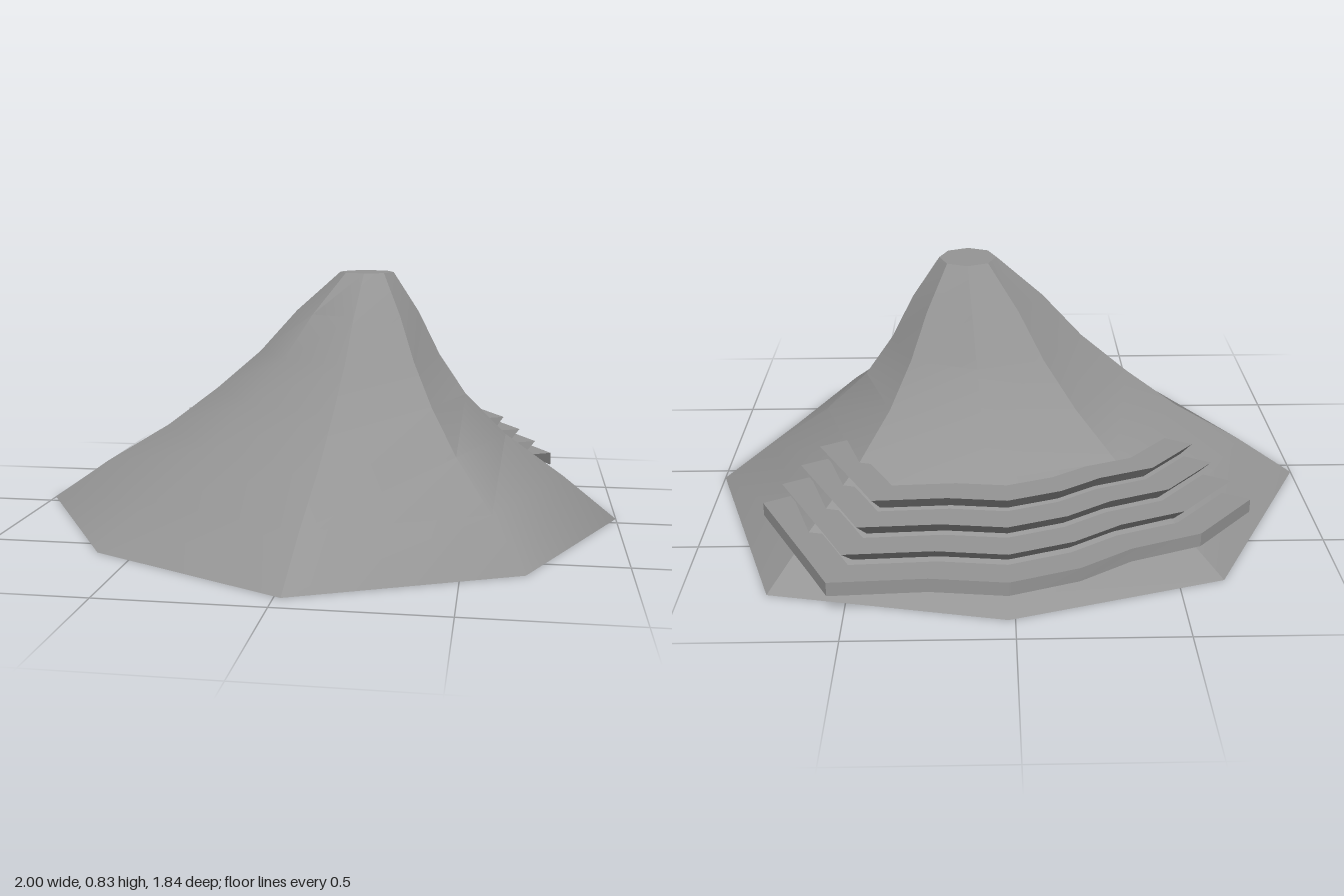
import * as THREE from 'three';
import { toCreasedNormals } from 'three/addons/utils/BufferGeometryUtils.js';

const rock = new THREE.MeshStandardMaterial({ color: 0x959595 });
const ledge = new THREE.MeshStandardMaterial({ color: 0x959595, side: THREE.DoubleSide });

// Ground outline of the mountain: x, z and the blend from gentle (0) to steep (1) slope
const BASE = [
  [1, -0.05, 1], [0.69, 0.62, 0.5], [0.02, 0.92, 0], [-0.62, 0.59, 0],
  [-1, -0.05, 0], [-0.64, -0.72, 0.4], [0.02, -0.91, 0.5], [0.74, -0.77, 0.9],
];
// How far each level has moved from the ground outline to the summit ring
const LEVELS = [0, 0.14, 0.28, 0.415, 0.55, 0.695, 0.83];
const GENTLE = [0, 0.19, 0.41, 0.58, 0.73, 0.855, 1];
const STEEP = [0, 0.23, 0.49, 0.67, 0.79, 0.885, 1];
const SUMMIT = { x: 0.135, z: -0.1, r: 0.092 };

// Terrace outline, relative to its centre, from the left end round the back to the right
const EDGE = [
  [-0.78, -0.42], [-0.59, -0.62], [-0.37, -0.7], [-0.21, -0.8], [0, -0.87],
  [0.23, -0.845], [0.52, -0.86], [0.58, -0.75], [0.77, -0.41],
];
const CENTRE = [0.02, -0.05];

function makeGeometry(positions, index) {
  const g = new THREE.BufferGeometry();
  g.setAttribute('position', new THREE.Float32BufferAttribute(positions, 3));
  g.setIndex(index);
  g.computeVertexNormals();
  return g;
}

function addMesh(group, geometry, material, name) {
  const mesh = new THREE.Mesh(geometry, material);
  mesh.name = name;
  group.add(mesh);
}

// Slopes lofted from the ground outline to the summit, with the steeper ridges kept sharp
function slopesGeometry() {
  const positions = [], index = [], n = BASE.length;
  LEVELS.forEach((y, l) => {
    BASE.forEach(([x, z, steep], i) => {
      const t = THREE.MathUtils.lerp(GENTLE[l], STEEP[l], steep);
      const a = (i / n) * Math.PI * 2;
      positions.push(
        THREE.MathUtils.lerp(x, SUMMIT.x + SUMMIT.r * Math.cos(a), t), y,
        THREE.MathUtils.lerp(z, SUMMIT.z + SUMMIT.r * Math.sin(a), t));
    });
  });
  for (let l = 0; l < LEVELS.length - 1; l++) {
    for (let i = 0; i < n; i++) {
      const j = (i + 1) % n;
      const a = l * n + i, b = l * n + j, c = a + n, d = b + n;
      index.push(a, c, b, b, c, d);
    }
  }
  // Flat summit
  const top = LEVELS.length * n;
  positions.push(SUMMIT.x, LEVELS[LEVELS.length - 1], SUMMIT.z);
  for (let i = 0; i < n; i++) index.push(top, top - n + ((i + 1) % n), top - n + i);
  return toCreasedNormals(makeGeometry(positions, index), 0.5);
}

// Flat underside
function undersideGeometry() {
  const positions = [0, 0, 0], index = [], n = BASE.length;
  BASE.forEach(([x, z], i) => {
    positions.push(x, 0, z);
    index.push(0, i + 1, ((i + 1) % n) + 1);
  });
  return makeGeometry(positions, index);
}

// Open step: a flat tread and a riser that leans in towards the bottom
function terraceGeometry(scale, yBottom, yTop, taper) {
  const positions = [], index = [];
  const section = [[scale - 0.105, yTop], [scale, yTop], [scale * taper, yBottom]];
  for (const [x, z] of EDGE) {
    for (const [s, y] of section) positions.push(CENTRE[0] + x * s, y, CENTRE[1] + z * s);
  }
  for (let i = 0; i < EDGE.length - 1; i++) {
    for (let k = 0; k < 2; k++) {
      const a = i * 3 + k, b = a + 3;
      index.push(a, b, b + 1, a, b + 1, a + 1);
    }
  }
  return toCreasedNormals(makeGeometry(positions, index), 0.3);
}

export function createModel() {
  const model = new THREE.Group();
  model.name = 'terracedMountain';

  addMesh(model, slopesGeometry(), rock, 'mountainSlopes');
  addMesh(model, undersideGeometry(), rock, 'mountainUnderside');

  // Four terraces stepping up the back
  const terraces = new THREE.Group();
  terraces.name = 'terraces';
  for (let i = 0; i < 4; i++) {
    const y = 0.135 + i * 0.05;
    const step = terraceGeometry(1 - i * 0.077, y - 0.045, y, i ? 0.945 : 1);
    addMesh(terraces, step, ledge, `terrace${i + 1}`);
  }
  model.add(terraces);
  return model;
}
